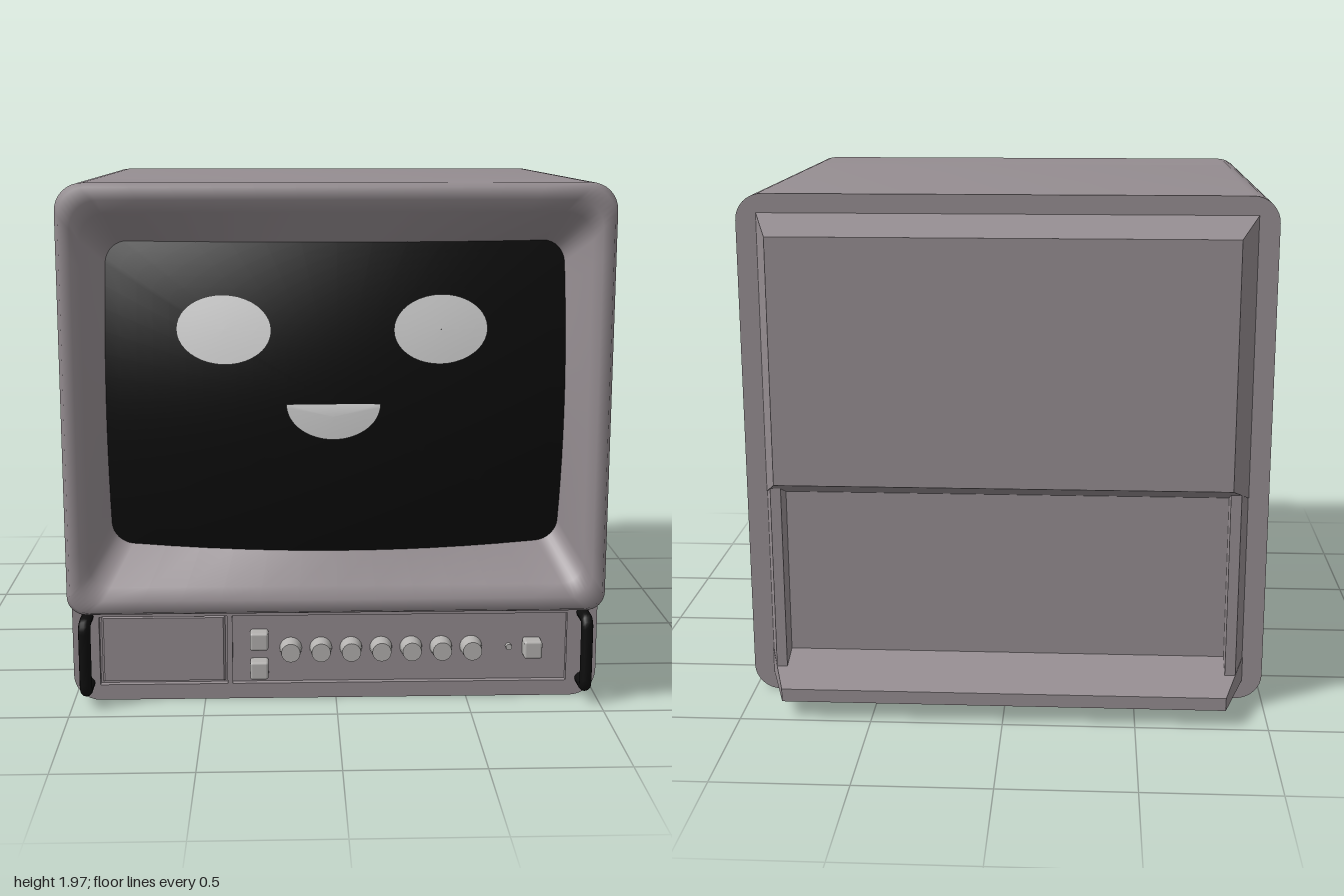
import * as THREE from 'three';
import { toCreasedNormals } from 'three/addons/utils/BufferGeometryUtils.js';
import { RoundedBoxGeometry } from 'three/addons/geometries/RoundedBoxGeometry.js';

const mat = (name, color) => Object.assign(new THREE.MeshStandardMaterial({ color }), { name });

// Bulged picture tube surface
const screenZ = (x, y) => 0.983 - 0.14 * (x / 0.85) ** 2 - 0.1 * ((y - 1.175) / 0.575) ** 2;

// Counter-clockwise rounded rectangle; bottom and top corner radii
function roundRect(hx, y0, y1, rb, rt = rb, straight = 1) {
  const pts = [], n = 8;
  const corners = [[hx - rt, y1 - rt, 0, rt], [-hx + rt, y1 - rt, 1, rt],
    [-hx + rb, y0 + rb, 2, rb], [hx - rb, y0 + rb, 3, rb]];
  corners.forEach(([cx, cy, q, r], k) => {
    for (let i = 0; i <= n; i++) {
      const a = (q + i / n) * Math.PI / 2;
      pts.push(new THREE.Vector2(cx + r * Math.cos(a), cy + r * Math.sin(a)));
    }
    // extra points along each side
    const next = corners[(k + 1) % 4], a = (q + 1) * Math.PI / 2;
    const p = pts[pts.length - 1];
    const e = new THREE.Vector2(next[0] + next[3] * Math.cos(a), next[1] + next[3] * Math.sin(a));
    for (let i = 1; i < straight; i++) pts.push(p.clone().lerp(e, i / straight));
  });
  return pts;
}

// Skin through closed rings running back to front, outside to inside
function loft(rings) {
  const n = rings[0].length, pos = [], idx = [];
  rings.forEach(r => r.forEach(p => pos.push(p.x, p.y, p.z)));
  for (let i = 0; i < rings.length - 1; i++) for (let j = 0; j < n; j++) {
    const k = (j + 1) % n, a = i * n + j, b = i * n + k;
    idx.push(a, b, b + n, a, b + n, a + n);
  }
  const g = new THREE.BufferGeometry();
  g.setAttribute('position', new THREE.Float32BufferAttribute(pos, 3));
  g.setIndex(idx);
  g.computeVertexNormals();
  return g;
}

// Fill a convex outline with a patch that follows the tube surface
function patch(outline, cx, cy, lift, steps) {
  const rings = [];
  for (let s = steps; s >= 0; s--) {
    const t = Math.max(s / steps, 0.001);
    rings.push(outline.map(p => {
      const x = cx + (p.x - cx) * t, y = cy + (p.y - cy) * t;
      return new THREE.Vector3(x, y, screenZ(x, y) + lift);
    }));
  }
  return loft(rings);
}

// Box tapering from section a (front) to section b (back): [x0, x1, y0, y1, z]
function taper(a, b) {
  const g = new THREE.BoxGeometry(1, 1, 1), p = g.attributes.position;
  for (let i = 0; i < p.count; i++) {
    const s = p.getZ(i) > 0 ? a : b;
    p.setXYZ(i, p.getX(i) > 0 ? s[1] : s[0], p.getY(i) > 0 ? s[3] : s[2], s[4]);
  }
  g.computeVertexNormals();
  return g;
}

function slab(outline, z0, z1, holes = []) {
  const shape = new THREE.Shape(outline);
  for (const [x0, x1, y0, y1] of holes) {
    shape.holes.push(new THREE.Path([[x0, y0], [x0, y1], [x1, y1], [x1, y0]].map(p => new THREE.Vector2(...p))));
  }
  const g = new THREE.ExtrudeGeometry(shape, { depth: z1 - z0, bevelEnabled: false });
  return toCreasedNormals(g.translate(0, 0, z0), 0.6);
}

function ellipse(cx, cy, rx, ry, a0, a1, n) {
  return Array.from({ length: n }, (_, i) => {
    const a = a0 + (a1 - a0) * i / (n - 1);
    return new THREE.Vector2(cx + rx * Math.cos(a), cy + ry * Math.sin(a));
  });
}

export function createModel() {
  const model = new THREE.Group();
  model.name = 'monitor';
  const casing = mat('casing grey', 0x958d91);
  const black = mat('black', 0x0d0d0d);
  const white = mat('face white', 0xd8d8d8);
  const silver = mat('button silver', 0xb4b2b0);
  const add = (name, geo, material, x = 0, y = 0, z = 0) => {
    const m = new THREE.Mesh(geo, material);
    m.name = name;
    m.position.set(x, y, z);
    model.add(m);
    return m;
  };

  // Main shell
  add('shell', slab(roundRect(1, 0, 1.965, 0.1), -0.72, 0.59), casing);

  // Bezel: outer wall, front rim, flare down to the screen
  const N = 12;
  const at = (pts, z) => pts.map(p => new THREE.Vector3(p.x, p.y, z ?? screenZ(p.x, p.y) - 0.005));
  add('bezel', loft([
    at(roundRect(1, 0.38, 1.965, 0.07, 0.1, N), 0.59),
    at(roundRect(1, 0.38, 1.965, 0.07, 0.1, N), 0.95),
    at(roundRect(0.985, 0.395, 1.95, 0.07, 0.1, N), 0.98),
    at(roundRect(0.945, 0.44, 1.905, 0.08, 0.1, N), 0.98),
    at(roundRect(0.915, 0.485, 1.86, 0.08, 0.1, N), 0.95),
    at(roundRect(0.845, 0.605, 1.745, 0.08, 0.08, N)),
  ]), casing);

  // Screen and face
  add('screen', patch(roundRect(0.85, 0.6, 1.75, 0.08, 0.08, N), 0, 1.175, 0, 14), black);
  for (const [name, x] of [['rightEye', -0.41], ['leftEye', 0.375]]) {
    add(name, patch(ellipse(x, 1.44, 0.172, 0.124, 0, Math.PI * 2, 41), x, 1.44, 0.006, 4), white);
  }
  add('mouth', patch(ellipse(-0.015, 1.175, 0.17, 0.13, Math.PI, Math.PI * 2, 31), -0.015, 1.13, 0.006, 4), white);

  // Lower front with two recessed bays
  const lower = roundRect(1, 0, 0.44, 0.1, 0.005);
  add('lowerFront', slab(lower, 0.59, 0.805), casing);
  add('controlPanel', slab(lower, 0.805, 0.83, [[-0.9, -0.415, 0.06, 0.33], [-0.395, 0.885, 0.06, 0.33]]), casing);
  add('door', taper([-0.885, -0.43, 0.07, 0.32, 0.818], [-0.895, -0.42, 0.065, 0.325, 0.8]), casing);

  // Knobs and buttons
  const knob = new THREE.CylinderGeometry(0.036, 0.043, 0.065, 24).rotateX(Math.PI / 2);
  for (let i = 0; i < 7; i++) add('knob', knob, silver, -0.173 + i * 0.1155, 0.192, 0.835);
  const button = new RoundedBoxGeometry(0.07, 0.07, 0.065, 2, 0.01);
  for (const [x, y] of [[-0.293, 0.235], [-0.293, 0.12], [0.753, 0.192]]) add('button', button, silver, x, y, 0.833);
  add('indicator', new THREE.CylinderGeometry(0.012, 0.012, 0.03, 12).rotateX(Math.PI / 2), silver, 0.665, 0.192, 0.81);

  // Carry handles
  const V = (y, z) => new THREE.Vector3(0, y, z);
  const path = new THREE.CurvePath();
  path.add(new THREE.LineCurve3(V(0.068, 0.81), V(0.068, 0.9)));
  path.add(new THREE.QuadraticBezierCurve3(V(0.068, 0.9), V(0.068, 0.928), V(0.1, 0.928)));
  path.add(new THREE.LineCurve3(V(0.1, 0.928), V(0.3, 0.928)));
  path.add(new THREE.QuadraticBezierCurve3(V(0.3, 0.928), V(0.332, 0.928), V(0.332, 0.9)));
  path.add(new THREE.LineCurve3(V(0.332, 0.9), V(0.332, 0.81)));
  const handle = new THREE.TubeGeometry(path, 48, 0.023, 12);
  for (const s of [1, -1]) add(s > 0 ? 'leftHandle' : 'rightHandle', handle, black, s * 0.943, 0, 0);

  // Rear housing: hood, side flanges, bottom ledge around a recess
  add('rearHood', taper([-0.925, 0.925, 0.82, 1.895, -0.715], [-0.84, 0.84, 0.925, 1.84, -0.983]), casing);
  add('leftFlange', taper([0.85, 0.923, 0.09, 0.9, -0.715], [0.845, 0.885, 0.1, 0.9, -0.84]), casing);
  add('rightFlange', taper([-0.923, -0.85, 0.09, 0.9, -0.715], [-0.885, -0.845, 0.1, 0.9, -0.84]), casing);
  add('rearLedge', taper([-0.925, 0.925, 0.075, 0.175, -0.715], [-0.84, 0.84, 0.068, 0.118, -0.983]), casing);
  return model;
}
